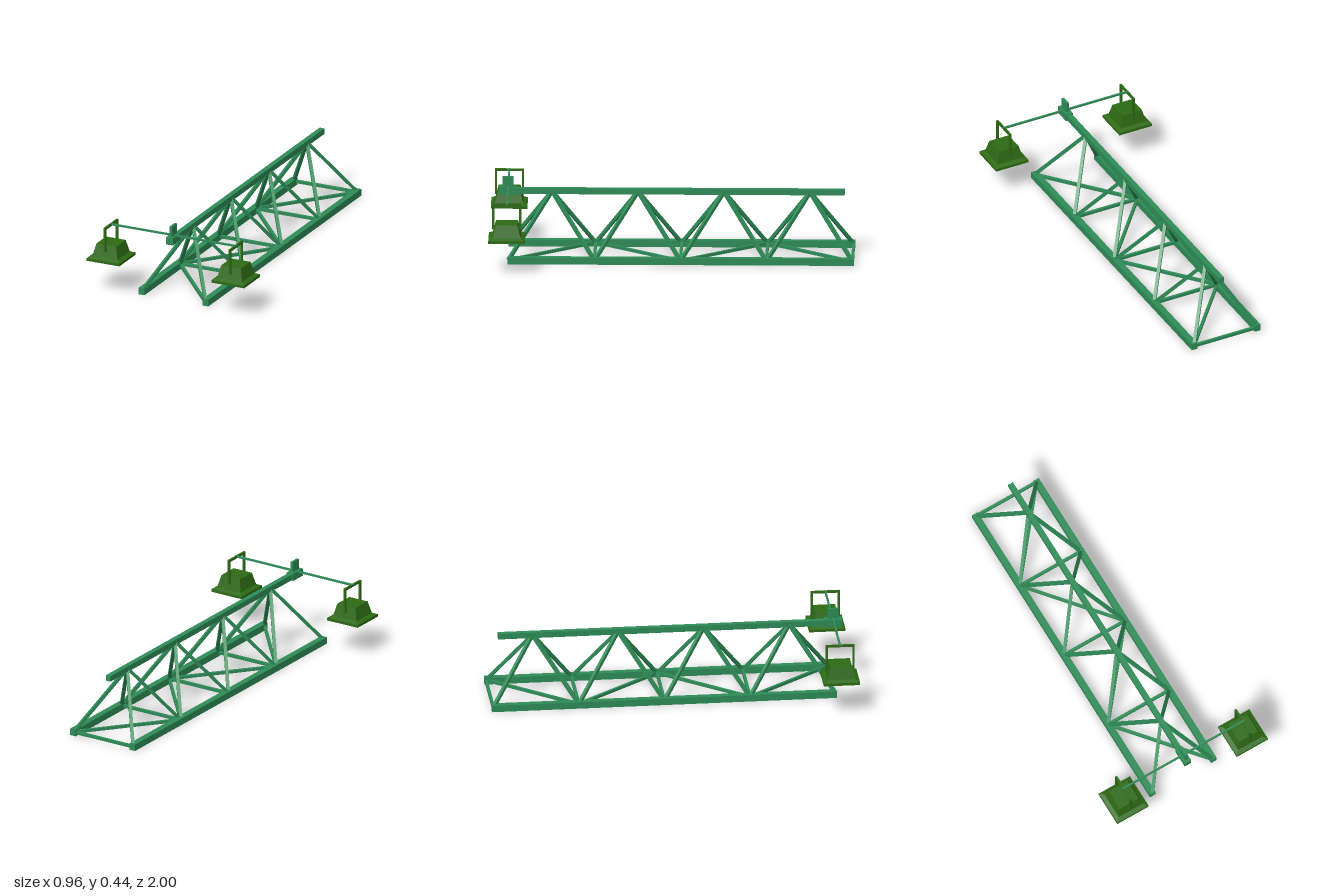
import * as THREE from 'three';

const steel = new THREE.MeshStandardMaterial({ color: 0x2e8b57, flatShading: true });
const lampGreen = new THREE.MeshStandardMaterial({ color: 0x2d6a14, flatShading: true });
const glass = new THREE.MeshStandardMaterial({ color: 0xcccccc, flatShading: true });

function box(parent, name, size, pos, material) {
  const mesh = new THREE.Mesh(new THREE.BoxGeometry(...size), material);
  mesh.position.set(...pos);
  mesh.name = name;
  parent.add(mesh);
  return mesh;
}

// Square bar running from point a to point b
function bar(parent, name, a, b, thickness) {
  const from = new THREE.Vector3(...a), to = new THREE.Vector3(...b);
  const mid = from.clone().add(to).multiplyScalar(0.5);
  const mesh = box(parent, name, [thickness, thickness, from.distanceTo(to)], mid.toArray(), steel);
  mesh.lookAt(to);
  return mesh;
}

// Four-sided tapered block between y0 and y1, given half widths
function taper(parent, name, half0, half1, y0, y1) {
  const geometry = new THREE.CylinderGeometry(half1 * Math.SQRT2, half0 * Math.SQRT2, y1 - y0, 4, 1);
  geometry.rotateY(Math.PI / 4);
  const mesh = new THREE.Mesh(geometry, lampGreen);
  mesh.position.y = (y0 + y1) / 2;
  mesh.name = name;
  parent.add(mesh);
}

function lamp(side) {
  const group = new THREE.Group();
  group.name = side > 0 ? 'leftLamp' : 'rightLamp';
  group.position.set(side * 0.381, 0, 0.9);
  // Housing: rim, sloped shoulder, tapered body
  box(group, 'lampRim', [0.2, 0.015, 0.2], [0, 0.194, 0], lampGreen);
  taper(group, 'lampShoulder', 0.1, 0.075, 0.2, 0.213);
  taper(group, 'lampBody', 0.077, 0.06, 0.211, 0.281);
  box(group, 'lampGlass', [0.168, 0.004, 0.168], [0, 0.1865, 0], glass);
  // Hanging bracket
  box(group, 'bracketTop', [0.012, 0.012, 0.16], [0, 0.382, 0], lampGreen);
  for (const s of [-1, 1]) {
    box(group, 'bracketLeg', [0.012, 0.144, 0.012], [0, 0.316, s * 0.074], lampGreen);
    box(group, 'bracketPivot', [0.014, 0.014, 0.022], [0, 0.252, s * 0.068], lampGreen);
  }
  return group;
}

export function createModel() {
  const model = new THREE.Group();
  model.name = 'trussBoom';
  const truss = new THREE.Group();
  truss.name = 'truss';
  model.add(truss);

  const bays = 4, halfWidth = 0.195, lowY = 0.021, highY = 0.362;
  const nodeZ = (k) => 0.895 - k * 0.4715;

  // Long chords
  for (const s of [-1, 1])
    box(truss, 'lowerChord', [0.036, 0.038, 1.9], [s * halfWidth, 0.02, -0.05], steel);
  box(truss, 'upperChord', [0.03, 0.032, 1.85], [0, 0.364, -0.02], steel);

  for (let k = 0; k < bays; k++) {
    const z0 = nodeZ(k), z1 = nodeZ(k + 1), apex = [0, highY, (z0 + z1) / 2];
    // Sloping side lacing
    for (const s of [-1, 1]) {
      bar(truss, 'sideBrace', [s * halfWidth, lowY, z0], apex, 0.018);
      bar(truss, 'sideBrace', [s * halfWidth, lowY, z1], apex, 0.018);
    }
    // Bottom cross strut and alternating diagonal
    bar(truss, 'crossStrut', [-halfWidth, lowY, z1], [halfWidth, lowY, z1], 0.016);
    const d = k % 2 ? -halfWidth : halfWidth;
    bar(truss, 'bottomDiagonal', [d, lowY, z0], [-d, lowY, z1], 0.016);
  }

  // Front mount with the lamp arm
  box(model, 'mountBlock', [0.042, 0.042, 0.096], [0, 0.364, 0.902], steel);
  box(model, 'mountPlate', [0.014, 0.065, 0.06], [0, 0.412, 0.902], steel);
  box(model, 'lampArm', [0.776, 0.01, 0.01], [0, 0.384, 0.9], steel);
  for (const s of [-1, 1]) model.add(lamp(s));
  return model;
}
